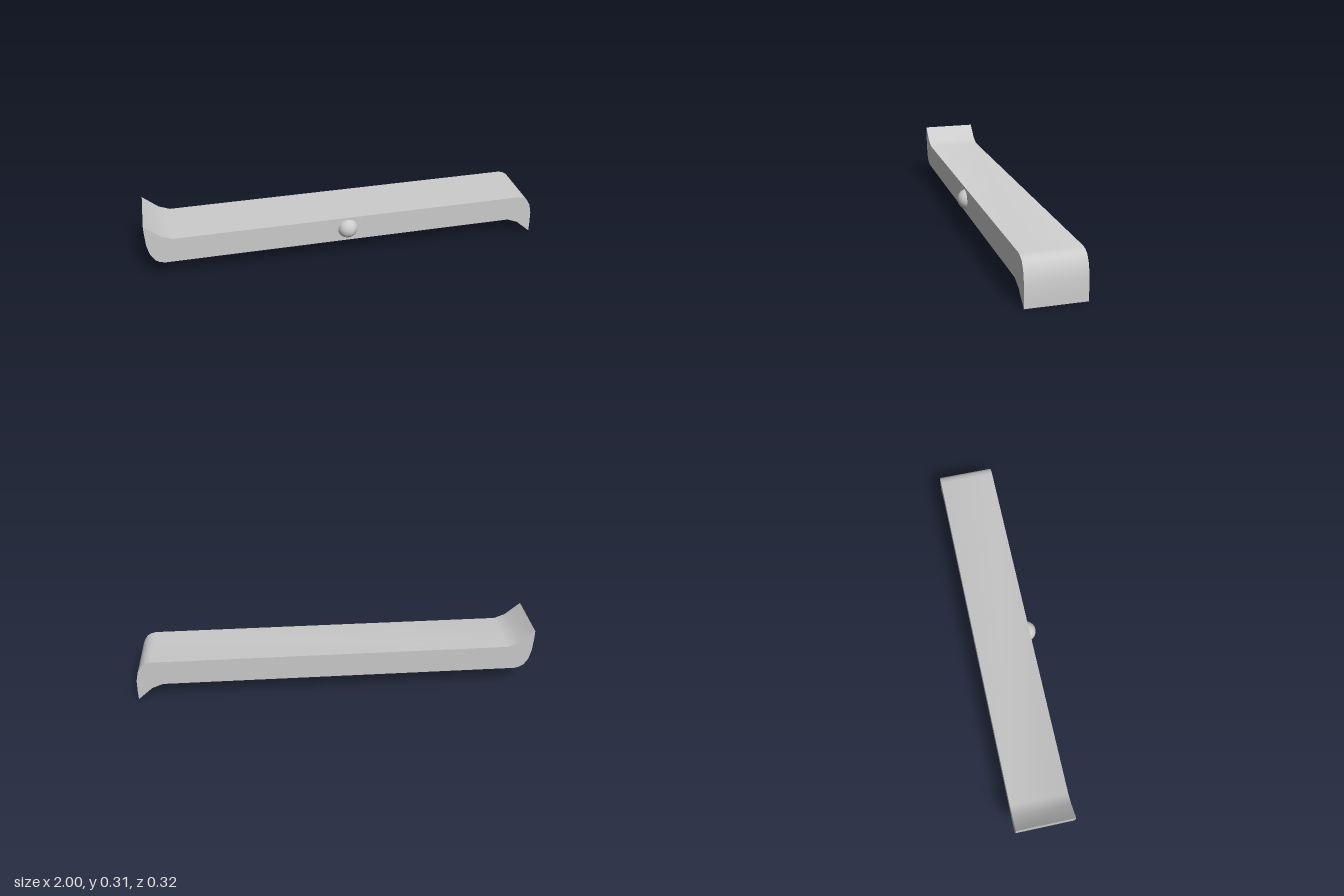
import * as THREE from 'three';
import { toCreasedNormals } from 'three/addons/utils/BufferGeometryUtils.js';

export function createModel() {
  const group = new THREE.Group();
  const material = new THREE.MeshStandardMaterial({ color: 0xcccccc });
  const midY = 0.153, back = -0.162, front = 0.123;

  // Half of the bar outline, relative to its centre: lower flare, right end, upper corner
  const half = [
    [0.87, -0.066], [0.925, -0.088], [1, -0.153],
    [1, -0.108], [0.997, -0.04], [0.985, 0.012], [0.965, 0.045], [0.945, 0.058], [0.92, 0.065],
  ];
  // The other end is the same outline turned by half a turn
  const outline = [...half, ...half.map(([x, y]) => [-x, -y])]
    .map(([x, y]) => new THREE.Vector2(x, y + midY));
  const barGeometry = new THREE.ExtrudeGeometry(new THREE.Shape(outline), {
    depth: front - back, bevelEnabled: false,
  });
  barGeometry.translate(0, 0, back);
  const bar = new THREE.Mesh(toCreasedNormals(barGeometry, 0.55), material);
  bar.name = 'handleBar';
  group.add(bar);

  // Round knob set into the middle of the front face
  const knob = new THREE.Mesh(new THREE.SphereGeometry(0.053, 32, 24), material);
  knob.name = 'knob';
  knob.position.set(0, 0.155, 0.109);
  group.add(knob);

  return group;
}
